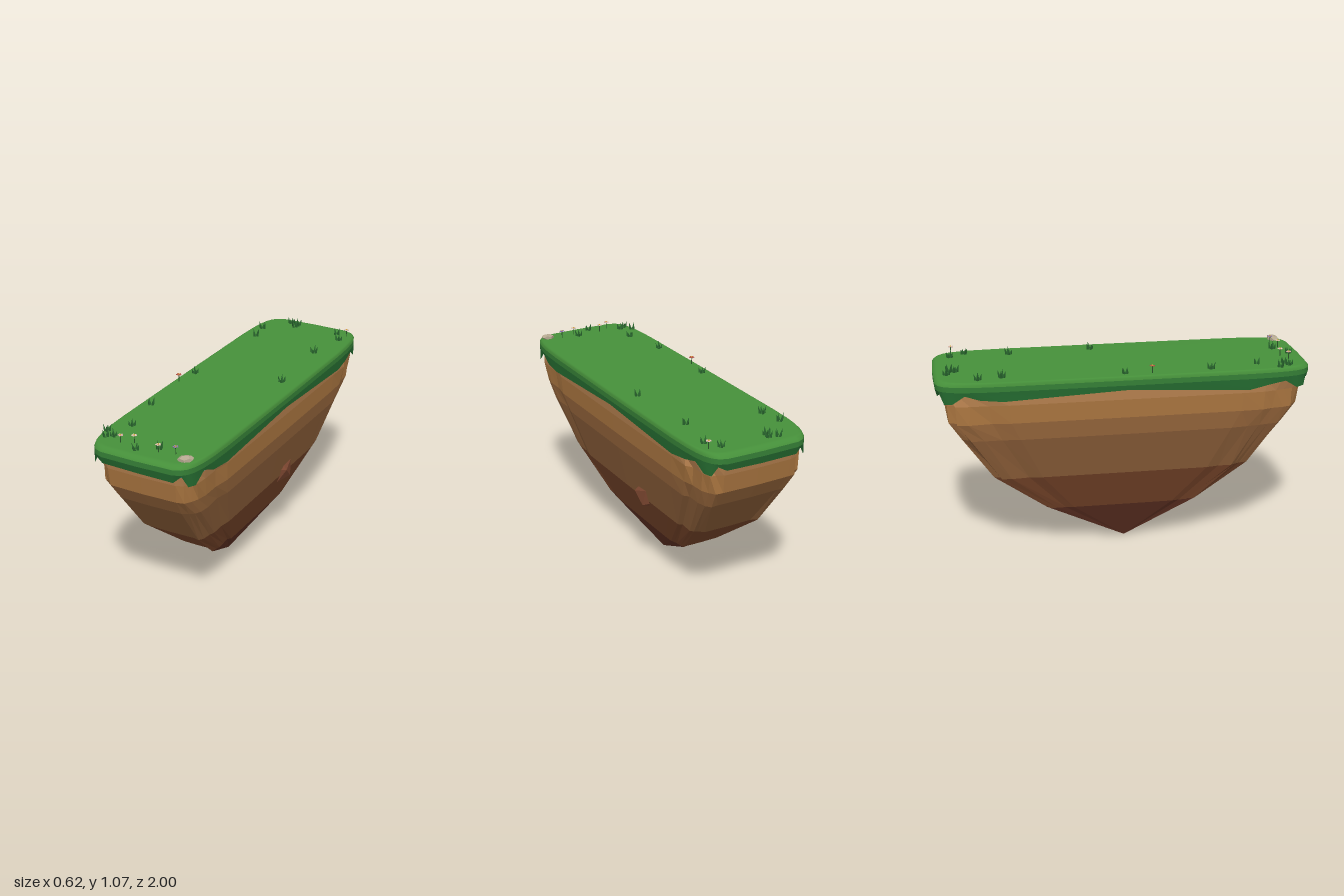
import * as THREE from 'three';

const SIDES = 32, HALF_X = 0.31, TOP = 1.02;

function seeded(seed) {
  return () => {
    seed = (seed * 16807) % 2147483647;
    return seed / 2147483647;
  };
}

// Squarish superellipse ring; scale(i) and y(i) may vary around it
function ring(scale, y, cx = 0, cz = 0) {
  const points = [];
  for (let i = 0; i < SIDES; i++) {
    const a = (i / SIDES) * Math.PI * 2, p = 0.264;
    const bend = v => (Math.abs(v) < 1e-9 ? 0 : Math.sign(v) * Math.abs(v) ** p);
    const s = typeof scale === 'function' ? scale(i) : scale;
    points.push([
      cx + HALF_X * s * bend(Math.cos(a)),
      typeof y === 'function' ? y(i) : y,
      cz + s * bend(Math.sin(a)),
    ]);
  }
  return points;
}

// Skin over rings listed from top to bottom
function loft(rings) {
  const index = [];
  for (let r = 0; r < rings.length - 1; r++) {
    for (let i = 0; i < SIDES; i++) {
      const j = (i + 1) % SIDES, a = r * SIDES, b = a + SIDES;
      index.push(a + i, a + j, b + i, a + j, b + j, b + i);
    }
  }
  const geo = new THREE.BufferGeometry();
  geo.setAttribute('position', new THREE.Float32BufferAttribute(rings.flat(2), 3));
  geo.setIndex(index);
  geo.computeVertexNormals();
  return geo;
}

function add(parent, name, geo, color, options = {}) {
  const mesh = new THREE.Mesh(geo, new THREE.MeshStandardMaterial({ color, ...options }));
  mesh.name = name;
  parent.add(mesh);
  return mesh;
}

function buildRock() {
  const group = new THREE.Group();
  group.name = 'rock';
  const rand = seeded(71);
  // Ridges run down the corners; the broad faces stay flat
  const ridge = Array.from({ length: SIDES }, (_, i) => {
    const k = i % 16, fold = Math.min(k, 16 - k);
    return fold > 1 && fold < 7 ? (rand() - 0.6) * 0.06 : 0;
  });
  const levels = [[0.945, 0.965], [0.89, 0.955], [0.79, 0.94], [0.69, 0.87], [0.45, 0.69], [0.23, 0.42]];
  const rings = levels.map(([y, s], n) => {
    const sway = -0.008 * (n / 5);
    return ring(
      i => s + (n ? ridge[i] + (ridge[i] ? (rand() - 0.5) * 0.035 : 0) : 0),
      y, sway, 0);
  });
  rings.push(ring(0, 0, -0.035, 0.02));
  // Earth layers darken toward the tip
  [0xb5804e, 0xa8743f, 0x9c6a3e, 0x8a5d38, 0x764429, 0x5e3022].forEach((color, n) => {
    add(group, `rockLayer${n + 1}`, loft([rings[n], rings[n + 1]]), color, { flatShading: true });
  });
  // Boulder stuck in the side
  const boulder = add(group, 'boulder', new THREE.IcosahedronGeometry(0.088, 0), 0x7a452f, { flatShading: true });
  boulder.position.set(0.163, 0.47, -0.185);
  boulder.rotation.set(0.3, 0.2, 0.35);
  return group;
}

function buildGrass() {
  const group = new THREE.Group();
  group.name = 'grass';
  const drop = [0.945, 0.91, 0.93, 0.952, 0.9, 0.908, 0.953, 0.927, 0.93];
  const hem = i => {
    const k = i % 16;
    return drop[Math.min(k, 16 - k)] + 0.006 * Math.sin(i * 2.3) * (k % 8 ? 1 : 0);
  };
  const shoulder = ring(1, 0.998), waist = ring(1, 0.97);
  add(group, 'grassTop', loft([ring(0, TOP), ring(0.96, TOP), ring(0.98, 1.018), ring(0.993, 1.01), shoulder]), 0x46903a);
  add(group, 'grassRim', loft([shoulder, waist]), 0x357f36);
  add(group, 'grassHem', loft([waist, ring(i => (hem(i) < 0.92 ? 1 : 0.99), hem)]), 0x24692f, { side: THREE.DoubleSide });
  // Thin water layer under the turf
  add(group, 'waterLayer', loft([ring(0.975, 0.97), ring(0.975, 0.946), ring(0.94, 0.944)]), 0x4cc4de, { side: THREE.DoubleSide });
  return group;
}

function buildTuft(x, z, rand) {
  const tuft = new THREE.Group();
  tuft.name = 'grassTuft';
  const turn = rand() * 6.28;
  for (let i = 0; i < 4; i++) {
    const a = turn + i * 1.57, h = 0.028 + rand() * 0.016;
    const blade = add(tuft, 'blade', new THREE.ConeGeometry(0.0085, h, 4).translate(0, h / 2, 0), 0x27632c, { flatShading: true });
    blade.position.set(Math.cos(a) * 0.011, 0, Math.sin(a) * 0.011);
    blade.rotation.set(Math.sin(a) * 0.25, 0, -Math.cos(a) * 0.25);
  }
  tuft.position.set(x, TOP - 0.001, z);
  return tuft;
}

function buildFlower(x, z, color) {
  const flower = new THREE.Group();
  flower.name = 'flower';
  add(flower, 'stem', new THREE.CylinderGeometry(0.002, 0.0025, 0.042, 5).translate(0, 0.021, 0), 0x2c5a2c);
  for (let i = 0; i < 5; i++) {
    const a = (i / 5) * Math.PI * 2;
    const petal = add(flower, 'petal', new THREE.SphereGeometry(0.006, 6, 4), color);
    petal.scale.set(1, 0.45, 1);
    petal.position.set(Math.cos(a) * 0.0095, 0.041, Math.sin(a) * 0.0095);
  }
  const heart = add(flower, 'flowerCentre', new THREE.SphereGeometry(0.005, 6, 4), 0xd9a833);
  heart.position.y = 0.042;
  flower.position.set(x, TOP, z);
  return flower;
}

export function createModel() {
  const island = new THREE.Group();
  island.name = 'floatingIsland';
  island.add(buildRock(), buildGrass());

  // Tufts scattered along the rim
  const rand = seeded(19);
  [[-0.13, -0.93], [-0.08, -0.915], [-0.085, -0.885], [0.18, -0.9], [0.23, -0.82], [-0.243, -0.775],
    [-0.22, -0.65], [0.185, -0.58], [0.21, -0.13], [-0.255, -0.01], [-0.25, 0.45], [-0.2, 0.71],
    [-0.275, 0.82], [-0.215, 0.855], [-0.248, 0.875], [0.055, 0.865], [-0.04, 0.93],
  ].forEach(([x, z]) => island.add(buildTuft(x, z, rand)));

  [[-0.145, 0.9, 0xe0b8b0], [-0.085, 0.87, 0xe6cfc0], [0.07, 0.9, 0xe0c4b4], [0.155, 0.88, 0x8f78b0],
    [0.245, -0.89, 0xe0c0b8], [-0.275, 0.13, 0xb8524a],
  ].forEach(([x, z, color]) => island.add(buildFlower(x, z, color)));

  // Flat pale stone at the front corner
  const stone = add(island, 'paleStone', new THREE.DodecahedronGeometry(0.042, 0), 0xb5a890, { flatShading: true });
  stone.scale.set(1, 0.38, 0.75);
  stone.rotation.set(0, 0.3, 0.1);
  stone.position.set(0.23, 1.029, 0.915);
  return island;
}
